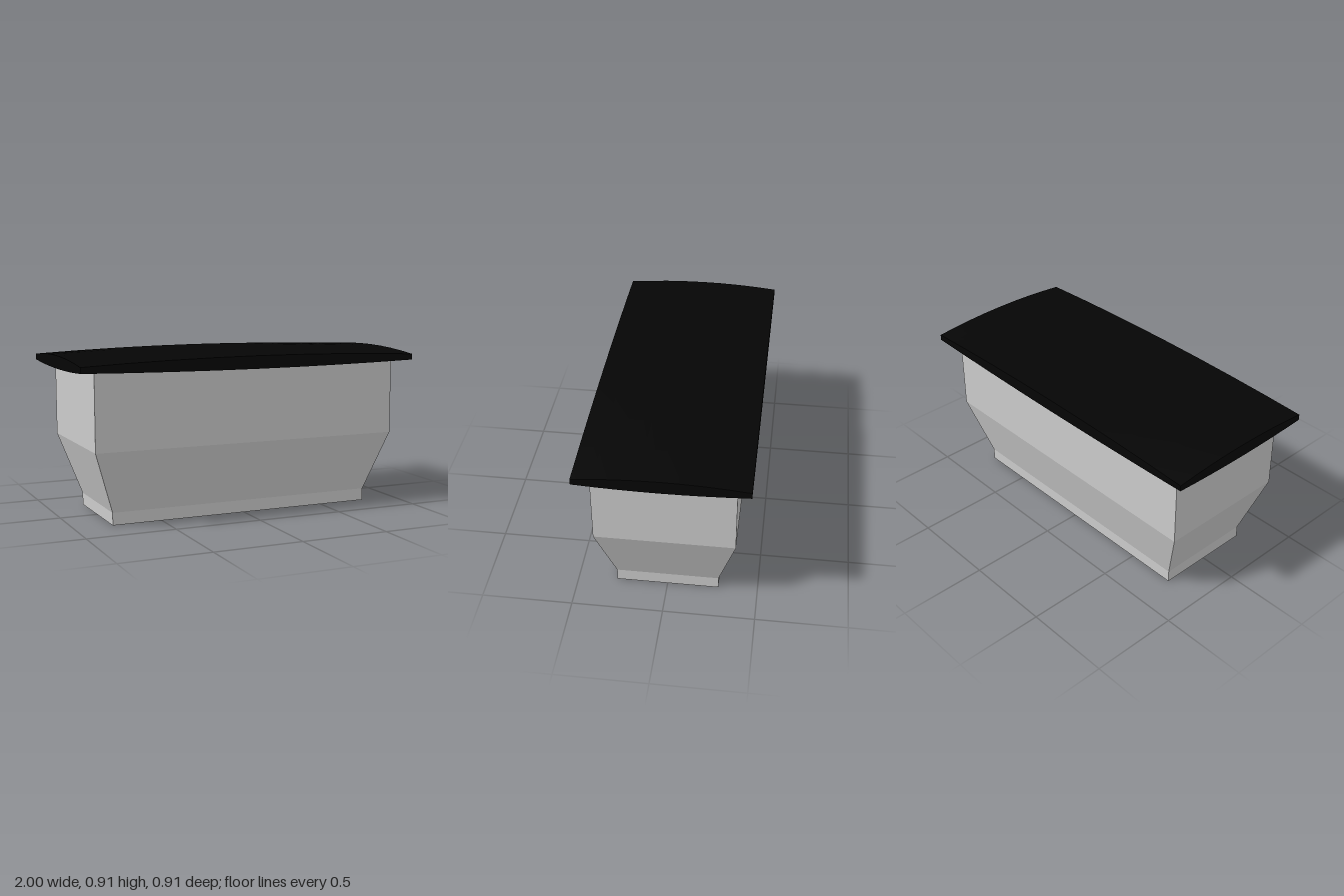
import * as THREE from 'three';

// Move every vertex of a geometry by a rule
function reshape(geometry, rule) {
  const p = geometry.attributes.position;
  const v = new THREE.Vector3();
  for (let i = 0; i < p.count; i++) {
    rule(v.fromBufferAttribute(p, i));
    p.setXYZ(i, v.x, v.y, v.z);
  }
  geometry.computeVertexNormals();
  return geometry;
}

export function createModel() {
  const model = new THREE.Group();

  // Tapered tub: height, half width and half depth of each level
  const levels = [
    [0, 0.785, 0.283],
    [0.07, 0.785, 0.283],
    [0.42, 0.905, 0.379],
    [0.855, 0.905, 0.379],
  ];
  const tub = new THREE.Mesh(
    reshape(new THREE.BoxGeometry(2, 3, 2, 1, 3, 1), (v) => {
      const [y, halfWidth, halfDepth] = levels[Math.round(v.y + 1.5)];
      v.set(v.x * halfWidth, y, v.z * halfDepth);
    }),
    new THREE.MeshStandardMaterial({ color: 0xcccccc, flatShading: true })
  );
  tub.name = 'tub';

  // Overhanging lid, thinning towards its four corners
  const lid = new THREE.Mesh(
    reshape(new THREE.BoxGeometry(2, 2, 2, 8, 1, 8), (v) => {
      const corner = v.x * v.x * v.z * v.z;
      const y = v.y > 0 ? 0.91 - 0.025 * corner : 0.838 + 0.014 * corner;
      v.set(v.x, y, v.z * 0.455);
    }),
    new THREE.MeshStandardMaterial({ color: 0x050505 })
  );
  lid.name = 'lid';

  model.add(tub, lid);
  return model;
}
